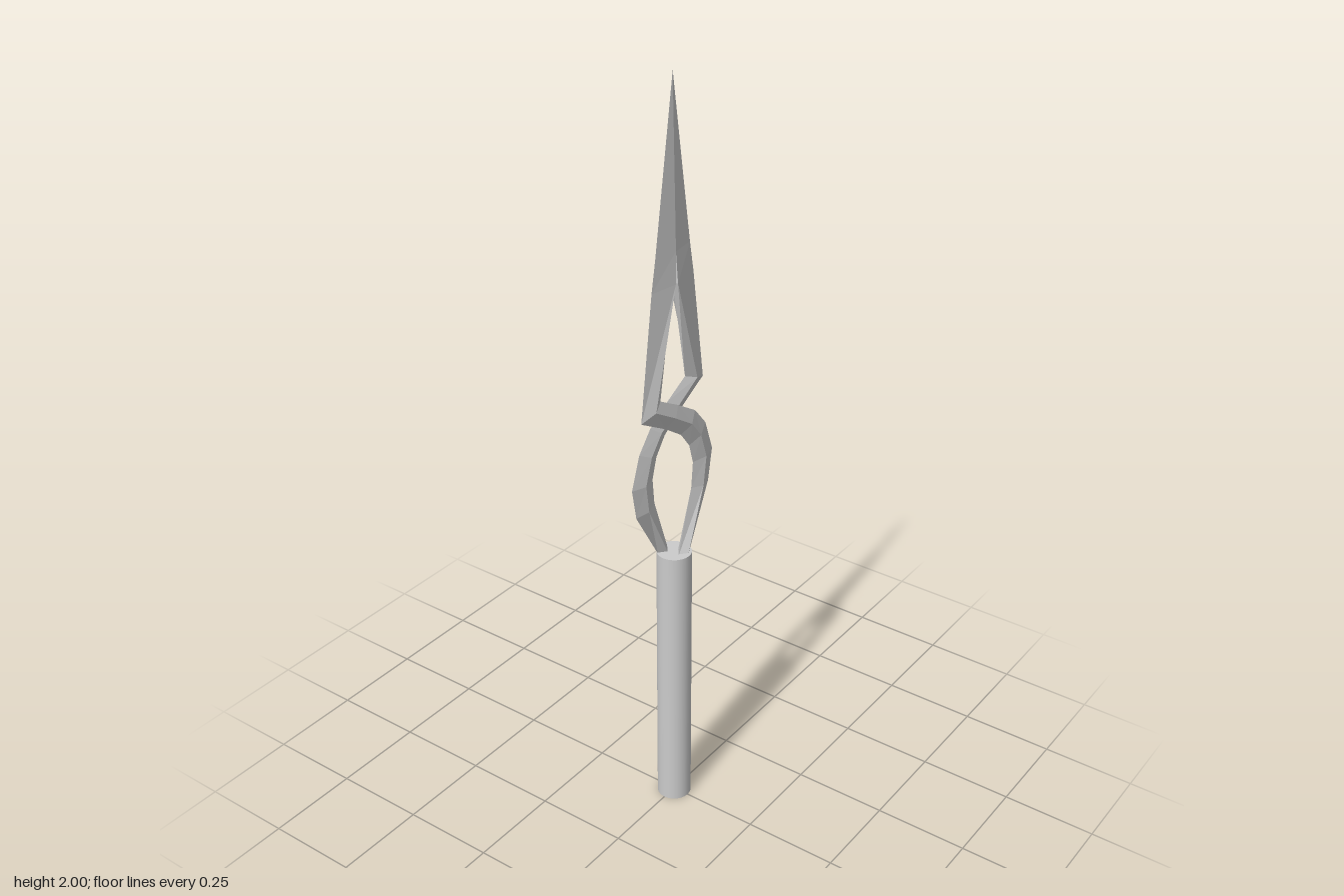
import * as THREE from 'three';

// Diamond cross-sections of one strand, from the tip down to the shaft:
// first edge x,y / second edge x,y / front z / back z / ridge position between the edges
const SECTIONS = [
  [0, 2, 0, 2, 0, 0, 0.5],
  [-0.067, 1.58, 0, 1.58, 0.009, -0.009, 1],
  [-0.082, 1.5, 0, 1.5, 0.012, -0.012, 0.95],
  [-0.145, 1.197, -0.07, 1.226, 0.028, 0.002, 0.55],
  [-0.05, 1.143, 0, 1.187, 0.028, 0.003, 0.5],
  [0.012, 1.1, 0.07, 1.143, 0.028, 0.003, 0.5],
  [0.047, 1.055, 0.115, 1.09, 0.027, 0.003, 0.5],
  [0.063, 1.0, 0.145, 1.005, 0.027, 0.003, 0.5],
  [0.055, 0.93, 0.128, 0.92, 0.028, 0.004, 0.5],
  [-0.01, 0.765, 0.03, 0.765, 0.04, 0.008, 0.5],
  [-0.015, 0.75, 0.02, 0.75, 0.04, 0.008, 0.5],
];

function strandGeometry() {
  const rings = SECTIONS.map(([ax, ay, bx, by, front, back, t]) => {
    const x = ax + (bx - ax) * t, y = ay + (by - ay) * t, mid = (front + back) / 2;
    return [[ax, ay, mid], [x, y, front], [bx, by, mid], [x, y, back]];
  });
  const positions = [];
  const index = [];
  rings.forEach((ring) => ring.forEach((p) => positions.push(...p)));
  for (let s = 0; s < rings.length - 1; s++) {
    for (let k = 0; k < 4; k++) {
      const a = s * 4 + k, b = s * 4 + (k + 1) % 4;
      if (s > 0) index.push(a, a + 4, b);
      index.push(a + 4, b + 4, b);
    }
  }
  const geometry = new THREE.BufferGeometry();
  geometry.setAttribute('position', new THREE.Float32BufferAttribute(positions, 3));
  geometry.setIndex(index);
  geometry.computeVertexNormals();
  return geometry;
}

export function createModel() {
  const model = new THREE.Group();
  model.name = 'spear';

  // Round shaft
  const shaft = new THREE.Mesh(
    new THREE.CylinderGeometry(0.045, 0.045, 0.77, 24),
    new THREE.MeshStandardMaterial({ color: 0xcccccc })
  );
  shaft.name = 'shaft';
  shaft.position.y = 0.385;
  model.add(shaft);

  // Spearhead: two identical strands, half a turn apart, each forming half of the blade
  const head = new THREE.Group();
  head.name = 'spearhead';
  head.position.z = -0.004;
  const geometry = strandGeometry();
  const steel = new THREE.MeshStandardMaterial({ color: 0xcccccc, flatShading: true });
  ['frontStrand', 'backStrand'].forEach((name, i) => {
    const strand = new THREE.Mesh(geometry, steel);
    strand.name = name;
    strand.rotation.y = i * Math.PI;
    head.add(strand);
  });
  model.add(head);
  return model;
}
